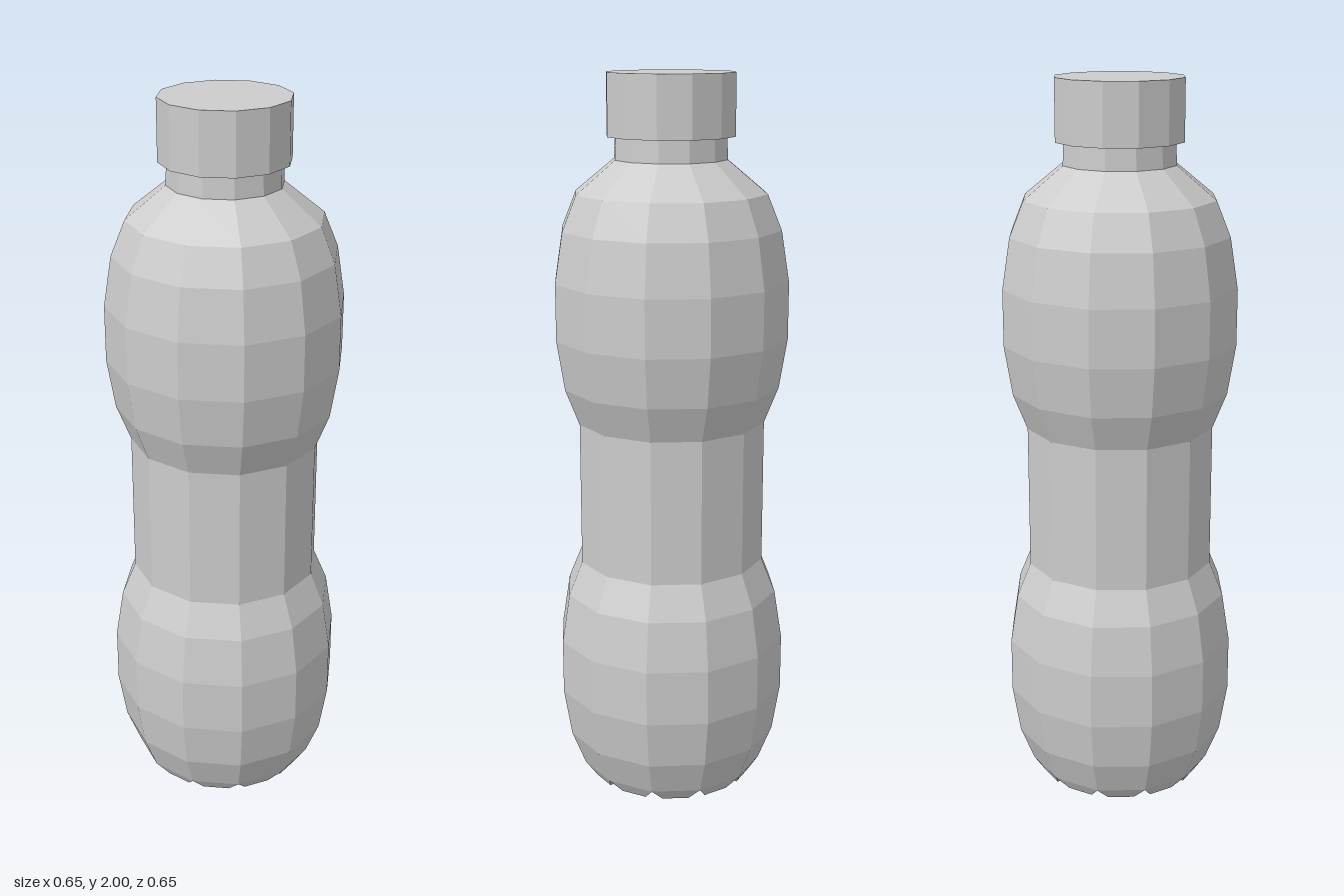
import * as THREE from 'three';

const SIDES = 12;
const START = -5 * Math.PI / 180;
const STEP = Math.PI * 2 / SIDES;

// Twelve-sided turned shell from [radius, height] pairs, bottom to top
function turned(name, profile, material) {
  const points = profile.map(([r, y]) => new THREE.Vector2(r, y));
  const mesh = new THREE.Mesh(new THREE.LatheGeometry(points, SIDES, START, Math.PI * 2), material);
  mesh.name = name;
  return mesh;
}

// One tapered foot under each side, together forming the notched base ring
function feetGeometry(outer, inner, top, shrink) {
  const positions = [];
  const quad = (a, b, c, d) => [a, b, c, a, c, d].forEach(p => positions.push(p.x, p.y, p.z));
  const at = (r, i) => new THREE.Vector3(
    r * Math.sin(START + i * STEP), top, r * Math.cos(START + i * STEP));
  for (let i = 0; i < SIDES; i++) {
    const rim = [at(outer, i), at(outer, i + 1), at(inner, i + 1), at(inner, i)];
    const centre = new THREE.Vector3();
    rim.forEach(p => centre.addScaledVector(p, 0.25));
    const sole = rim.map(p => {
      const q = centre.clone().lerp(p, shrink);
      q.y = 0;
      return q;
    });
    for (let k = 0; k < 4; k++) {
      const n = (k + 1) % 4;
      quad(rim[k], sole[k], sole[n], rim[n]);
    }
    quad(sole[3], sole[2], sole[1], sole[0]);
  }
  const geometry = new THREE.BufferGeometry();
  geometry.setAttribute('position', new THREE.Float32BufferAttribute(positions, 3));
  geometry.computeVertexNormals();
  return geometry;
}

export function createModel() {
  const group = new THREE.Group();
  group.name = 'bottle';
  const grey = new THREE.MeshStandardMaterial({
    color: 0xcccccc, flatShading: true, side: THREE.DoubleSide });
  grey.name = 'plain grey';

  // Two matching bulges joined by a straight waist
  const bulge = [[0.263, 0.035], [0.302, 0.135], [0.324, 0.272],
    [0.324, 0.427], [0.302, 0.565], [0.263, 0.66]];
  const upper = bulge.map(([r, y]) => [r, y + 1.027]);
  group.add(turned('body', [...bulge, ...upper, [0.155, 1.775]], grey));

  // Neck
  group.add(turned('neck', [[0.155, 1.775], [0.152, 1.84]], grey));

  // Cap
  const cap = new THREE.Mesh(
    new THREE.CylinderGeometry(0.175, 0.175, 0.165, SIDES, 1, false, START), grey);
  cap.name = 'cap';
  cap.position.y = 1.9175;
  group.add(cap);

  // Feet around the open base
  const feet = new THREE.Mesh(feetGeometry(0.263, 0.165, 0.035, 0.55), grey);
  feet.name = 'feet';
  group.add(feet);

  return group;
}
